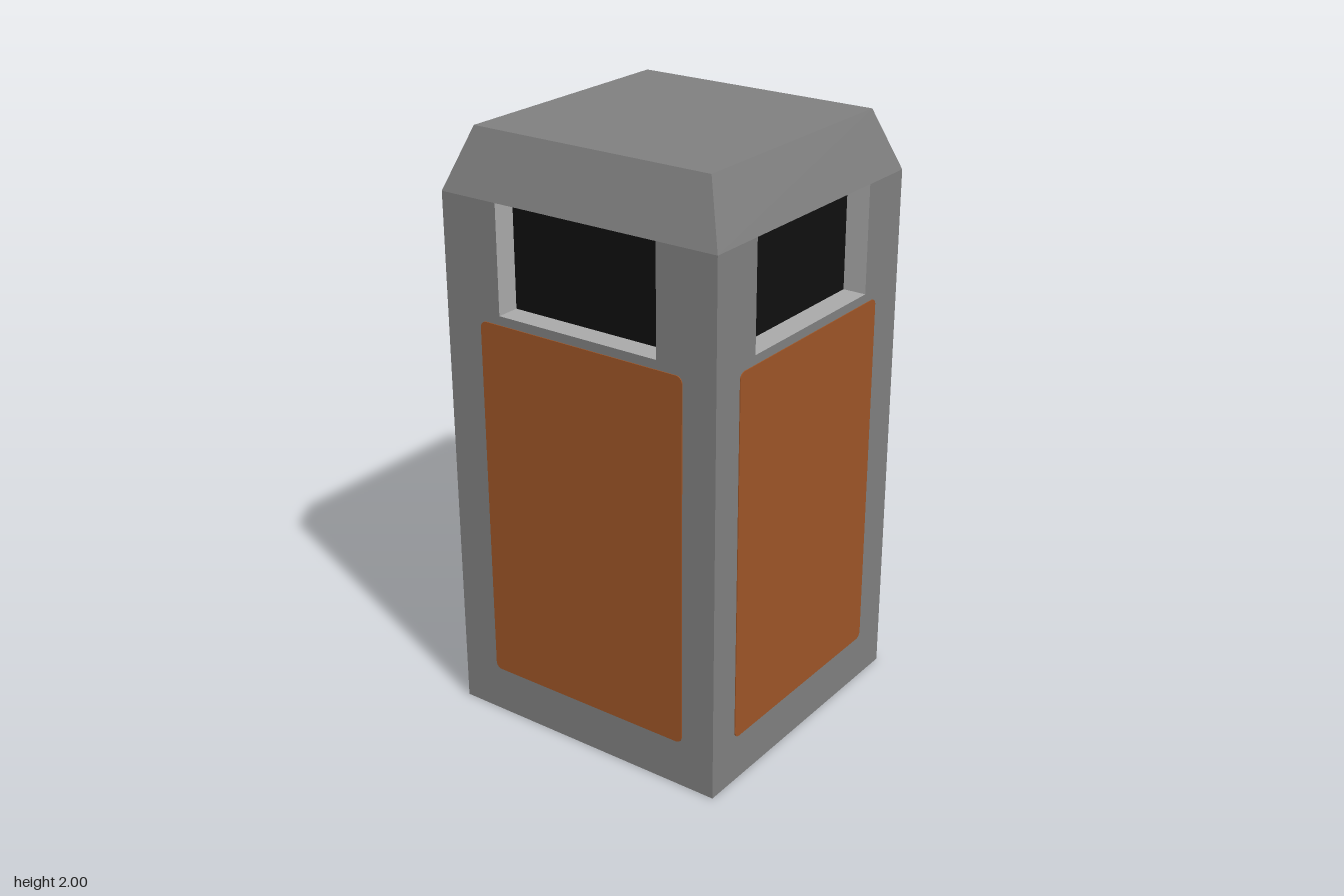
import * as THREE from 'three';

const HALF = 0.51, WALL_TOP = 1.8, SILL = 1.44, DEPTH = 0.08;

export function createModel() {
  const concrete = new THREE.MeshStandardMaterial({ color: 0x7f7f7f });
  concrete.name = 'grey casing';
  const lightGrey = new THREE.MeshStandardMaterial({ color: 0xa9a9a9 });
  lightGrey.name = 'light grey opening rim';
  const wood = new THREE.MeshStandardMaterial({ color: 0x9d5527 });
  wood.name = 'brown panel';
  const black = new THREE.MeshStandardMaterial({ color: 0x0f0f0f });
  black.name = 'black interior';

  const model = new THREE.Group();
  model.name = 'litterBin';

  function add(parent, name, geometry, material, x = 0, y = 0, z = 0) {
    const mesh = new THREE.Mesh(geometry, material);
    mesh.name = name;
    mesh.position.set(x, y, z);
    parent.add(mesh);
    return mesh;
  }

  // Brown panel outline with slightly rounded corners
  function panelShape(w, h, r) {
    const s = new THREE.Shape();
    const x = w / 2, y = h / 2;
    s.absarc(x - r, y - r, r, 0, Math.PI / 2);
    s.absarc(-x + r, y - r, r, Math.PI / 2, Math.PI);
    s.absarc(-x + r, -y + r, r, Math.PI, Math.PI * 1.5);
    s.absarc(x - r, -y + r, r, Math.PI * 1.5, Math.PI * 2);
    s.closePath();
    return s;
  }

  // One side: notched wall, recessed opening and brown panel
  function createSide(name, windowHalf, panelX) {
    const side = new THREE.Group();
    side.name = name;
    const wall = new THREE.Shape([
      [-HALF, 0], [HALF, 0], [HALF, WALL_TOP], [windowHalf, WALL_TOP],
      [windowHalf, SILL], [-windowHalf, SILL], [-windowHalf, WALL_TOP], [-HALF, WALL_TOP],
    ].map(([x, y]) => new THREE.Vector2(x, y)));
    add(side, 'wall', new THREE.ShapeGeometry(wall), concrete, 0, 0, HALF);

    // Four inward-facing rim strips and the dark back of the opening
    const h = WALL_TOP - SILL, midY = SILL + h / 2, midZ = HALF - DEPTH / 2;
    const flat = new THREE.PlaneGeometry(windowHalf * 2, DEPTH);
    const upright = new THREE.PlaneGeometry(DEPTH, h);
    add(side, 'openingSill', flat, lightGrey, 0, SILL, midZ).rotation.x = -Math.PI / 2;
    add(side, 'openingTop', flat, lightGrey, 0, WALL_TOP, midZ).rotation.x = Math.PI / 2;
    for (const s of [-1, 1]) {
      add(side, s > 0 ? 'openingLeft' : 'openingRight', upright, lightGrey, s * windowHalf, midY, midZ)
        .rotation.y = -s * Math.PI / 2;
    }
    add(side, 'openingBack', new THREE.PlaneGeometry(windowHalf * 2, h), black, 0, midY, HALF - DEPTH);

    const panel = new THREE.ExtrudeGeometry(panelShape(0.765, 1.25, 0.022),
      { depth: 0.003, bevelEnabled: false, curveSegments: 4 });
    add(side, 'panel', panel, wood, panelX, 0.785, HALF);
    return side;
  }

  // Opposite sides match; neighbouring sides differ a little in width and offset
  ['front', 'left', 'back', 'right'].forEach((name, i) => {
    const side = i % 2 ? createSide(name + 'Side', 0.298, 0.009) : createSide(name + 'Side', 0.312, -0.009);
    side.rotation.y = i * Math.PI / 2;
    model.add(side);
  });

  // Sloped cap: an open four-sided frustum closed by a flat lid
  const topHalf = 0.435;
  const cap = new THREE.CylinderGeometry(topHalf * Math.SQRT2, HALF * Math.SQRT2, 0.2, 4, 1, true)
    .rotateY(Math.PI / 4).toNonIndexed();
  cap.computeVertexNormals();
  add(model, 'capSlopes', cap, concrete, 0, 1.9, 0);
  add(model, 'capTop', new THREE.PlaneGeometry(topHalf * 2, topHalf * 2), concrete, 0, 2, 0)
    .rotation.x = -Math.PI / 2;

  // Underside
  add(model, 'base', new THREE.PlaneGeometry(HALF * 2, HALF * 2), concrete).rotation.x = Math.PI / 2;

  return model;
}
